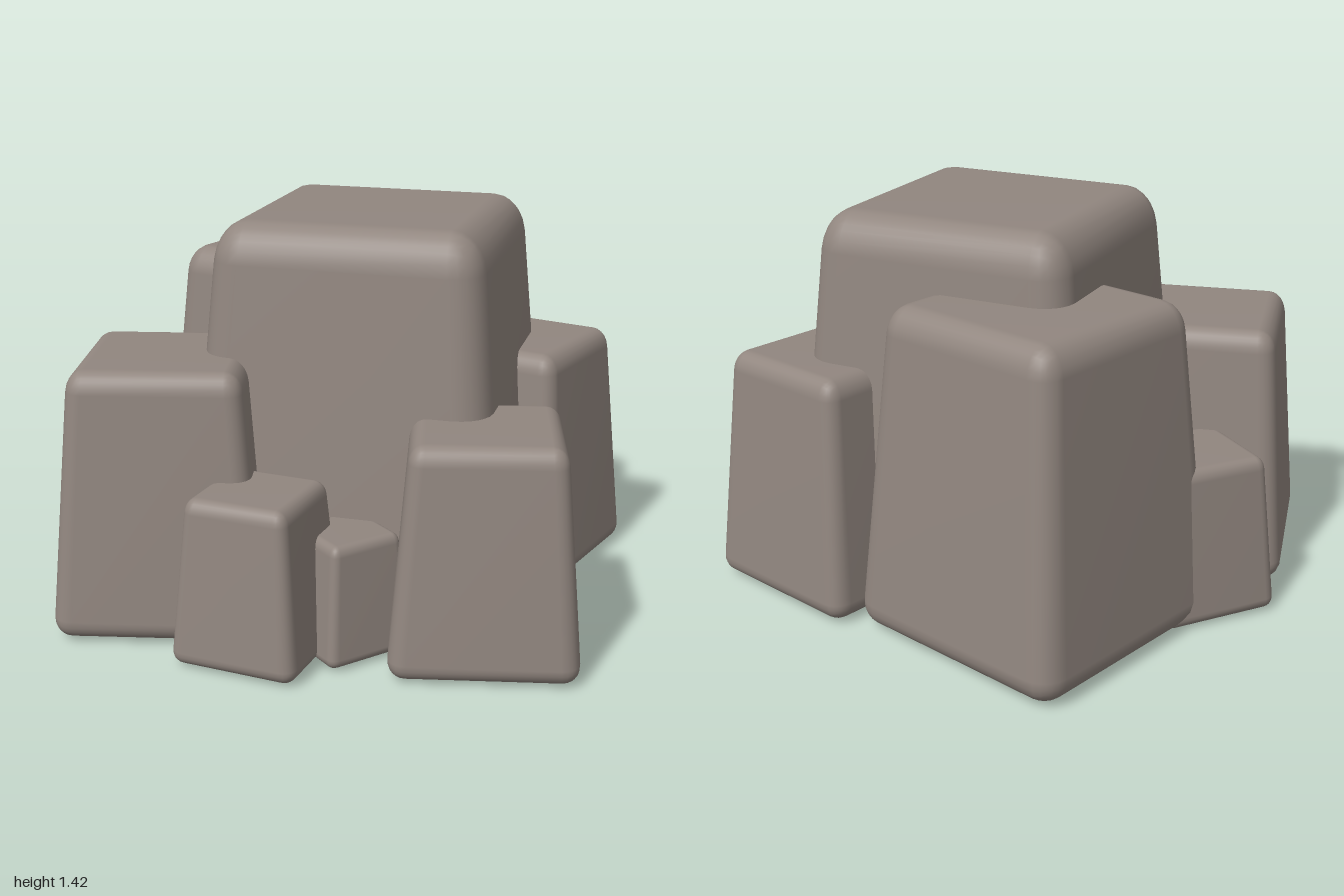
import * as THREE from 'three';
import { mergeVertices } from 'three/addons/utils/BufferGeometryUtils.js';
import { RoundedBoxGeometry } from 'three/addons/geometries/RoundedBoxGeometry.js';

const TOP_SCALE = 0.79;

// Rounded block that narrows towards the top, standing on y = base
function boulderGeometry(half, base, top, radius) {
  const height = top - base;
  const box = new RoundedBoxGeometry(half * 2, height, half * 2, 3, radius);
  box.deleteAttribute('uv');
  box.deleteAttribute('normal');
  const geometry = mergeVertices(box, 1e-4);
  const p = geometry.attributes.position;
  for (let i = 0; i < p.count; i++) {
    const t = p.getY(i) / height + 0.5;
    const s = THREE.MathUtils.lerp(1, TOP_SCALE, t);
    p.setXYZ(i, p.getX(i) * s, base + t * height, p.getZ(i) * s);
  }
  geometry.computeVertexNormals();
  return geometry;
}

export function createModel() {
  const group = new THREE.Group();
  group.name = 'rockCluster';
  const stone = new THREE.MeshStandardMaterial({ color: 0x91867f });
  stone.name = 'warm grey stone';

  // name, x, z, half width at the foot, foot height, top height, edge radius, turn
  const boulders = [
    ['mainBoulder', 0.105, -0.04, 0.59, 0, 1.42, 0.14, 0],
    ['backRightBoulder', -0.26, -0.455, 0.465, 0.005, 1.19, 0.1, -0.291],
    ['frontRightBoulder', -0.527, 0.437, 0.375, 0.008, 0.96, 0.075, 0.222],
    ['frontLeftBoulder', 0.628, 0.477, 0.322, 0.008, 0.808, 0.065, 0.214],
    ['backLeftBoulder', 0.567, -0.408, 0.342, 0.008, 0.888, 0.07, -0.284],
    ['frontSmallRock', -0.1, 0.722, 0.232, 0.008, 0.594, 0.05, -0.12],
    ['frontPebble', 0.174, 0.596, 0.17, 0.01, 0.434, 0.035, 0.86],
    ['rightSmallRock', -0.695, -0.045, 0.23, 0.008, 0.59, 0.045, -0.69],
  ];
  for (const [name, x, z, half, base, top, radius, turn] of boulders) {
    const mesh = new THREE.Mesh(boulderGeometry(half, base, top, radius), stone);
    mesh.name = name;
    mesh.position.set(x, 0, z);
    mesh.rotation.y = turn;
    group.add(mesh);
  }
  return group;
}
